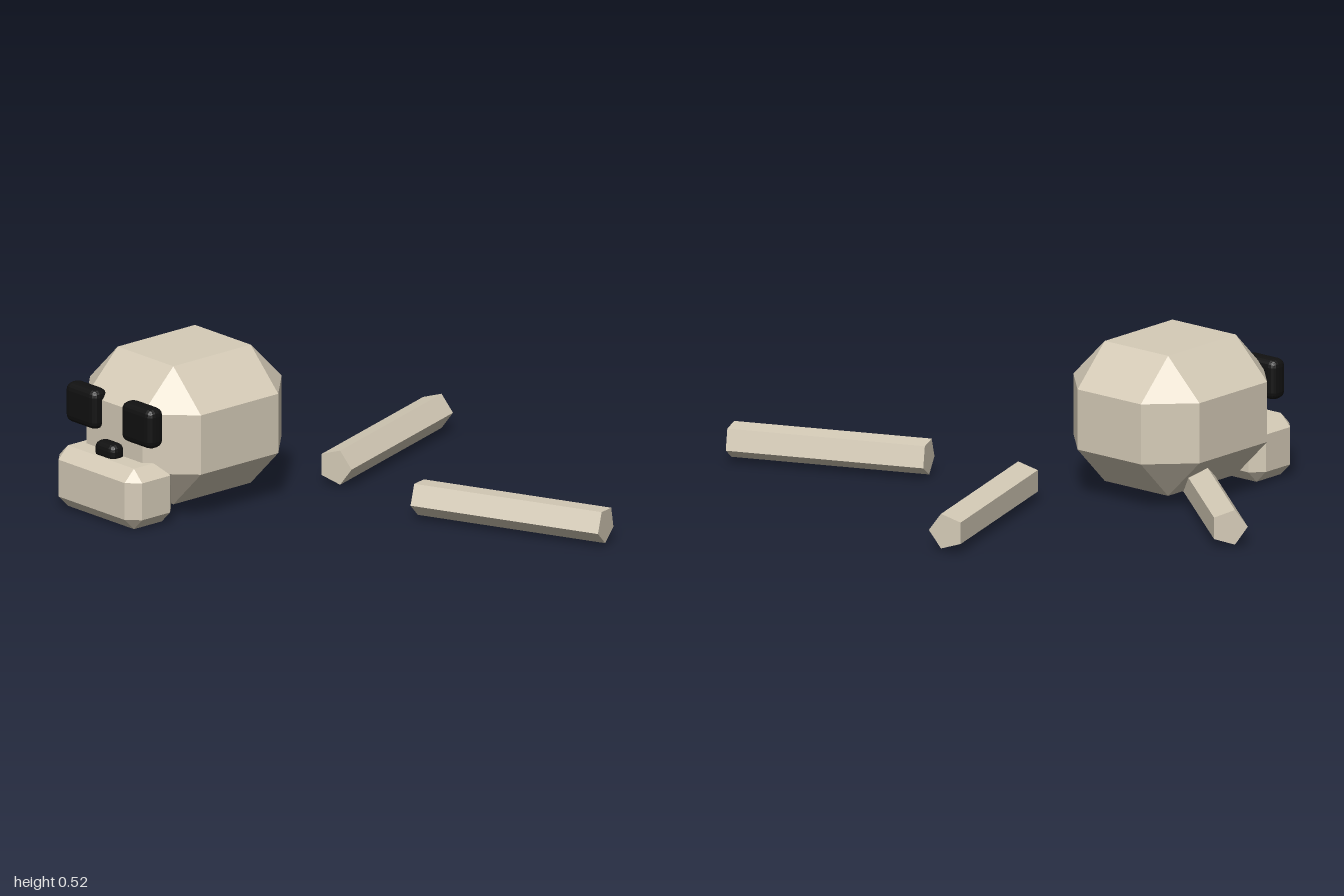
import * as THREE from 'three';
import { ConvexGeometry } from 'three/addons/geometries/ConvexGeometry.js';
import { RoundedBoxGeometry } from 'three/addons/geometries/RoundedBoxGeometry.js';

const boneMat = new THREE.MeshStandardMaterial({ color: 0xd6ccb8, flatShading: true });
const blackMat = new THREE.MeshStandardMaterial({ color: 0x111111, flatShading: true });

function add(parent, name, geometry, material, x, y, z) {
  const mesh = new THREE.Mesh(geometry, material);
  mesh.name = name;
  mesh.position.set(x, y, z);
  parent.add(mesh);
  return mesh;
}

// Box with every edge cut by c, and triangular corners
function chamferedBox(w, h, d, c) {
  const points = [];
  for (const sx of [-1, 1]) for (const sy of [-1, 1]) for (const sz of [-1, 1]) {
    const [x, y, z] = [w / 2, h / 2, d / 2];
    points.push(
      new THREE.Vector3(sx * x, sy * (y - c), sz * (z - c)),
      new THREE.Vector3(sx * (x - c), sy * y, sz * (z - c)),
      new THREE.Vector3(sx * (x - c), sy * (y - c), sz * z));
  }
  return new ConvexGeometry(points);
}

// Five-sided bone lying on the ground between two [x, z] points, rolled about its axis
function addBone(parent, name, from, to, roll) {
  const dx = to[0] - from[0], dz = to[1] - from[1];
  const geometry = new THREE.CylinderGeometry(0.0625, 0.0625, Math.hypot(dx, dz), 5);
  geometry.rotateX(Math.PI / 2);
  geometry.rotateZ(THREE.MathUtils.degToRad(roll + 90));
  const bone = add(parent, name, geometry, boneMat,
    (from[0] + to[0]) / 2, 0.07, (from[1] + to[1]) / 2);
  bone.rotation.y = Math.atan2(dx, dz);
}

export function createModel() {
  const model = new THREE.Group();
  model.name = 'skullAndBones';

  // Skull
  const skull = new THREE.Group();
  skull.name = 'skull';
  skull.position.x = -0.345;
  model.add(skull);
  add(skull, 'cranium', chamferedBox(0.55, 0.48, 0.615, 0.137), boneMat, 0, 0.276, 0.338);
  add(skull, 'jaw', chamferedBox(0.41, 0.21, 0.205, 0.041), boneMat, 0, 0.105, 0.644);

  // Dark sockets
  for (const side of [-1, 1]) {
    add(skull, side > 0 ? 'leftEye' : 'rightEye',
      new RoundedBoxGeometry(0.153, 0.138, 0.068, 2, 0.026), blackMat,
      side * 0.138, 0.345, 0.646);
  }
  add(skull, 'nose', new RoundedBoxGeometry(0.1, 0.064, 0.06, 2, 0.024), blackMat, 0, 0.224, 0.668);

  // Scattered bones
  addBone(model, 'backBone', [-0.292, -0.728], [-0.07, -0.083], 0);
  addBone(model, 'leftBone', [0.344, -0.083], [0.976, -0.348], -95);
  addBone(model, 'rightBone', [-0.435, 0.35], [-0.964, -0.08], 0);

  return model;
}
